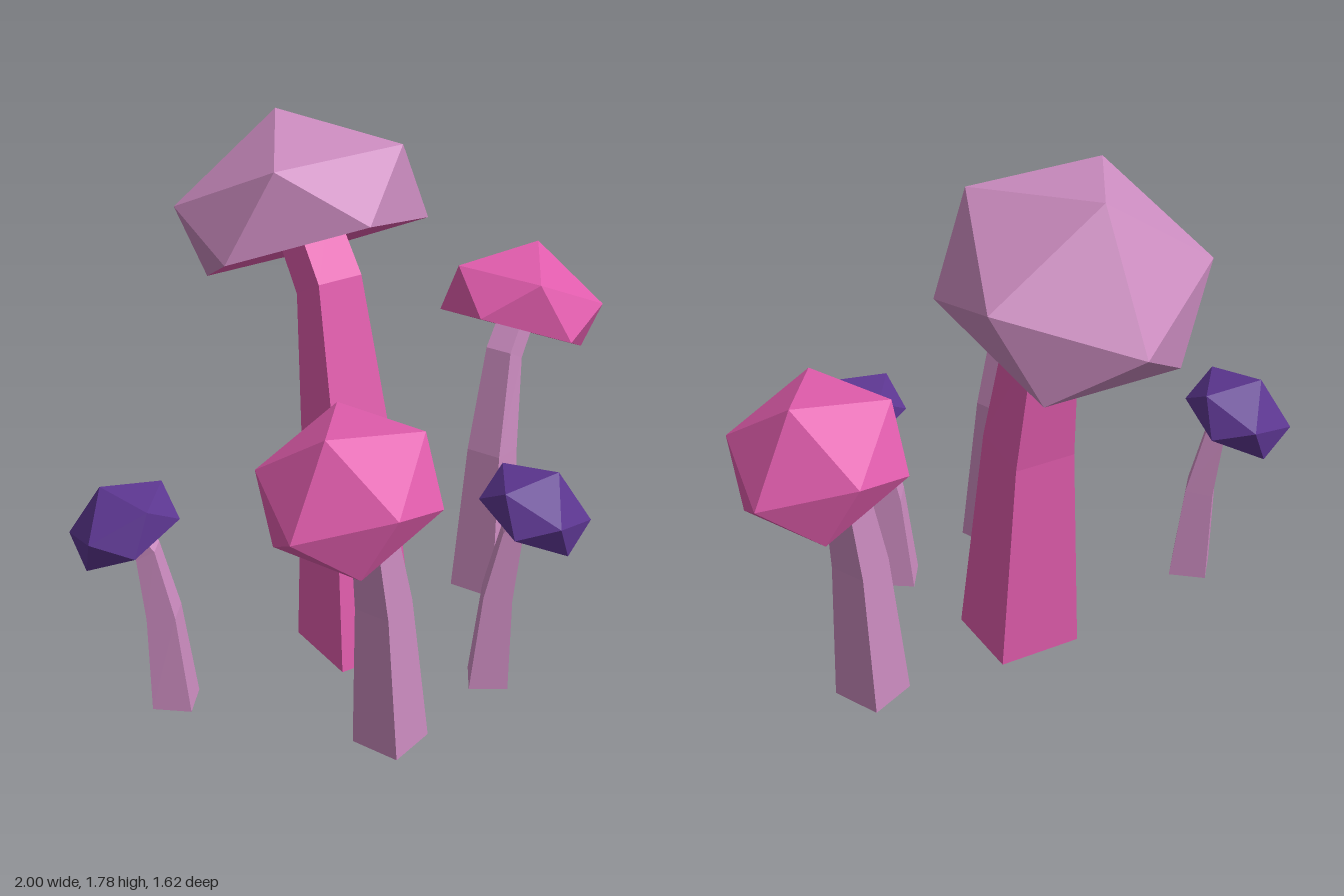
import * as THREE from 'three';

const material = (name, color) => {
  const m = new THREE.MeshStandardMaterial({ color });
  m.name = name;
  return m;
};

// Faceted normals for an indexed geometry
function facet(geometry) {
  const g = geometry.toNonIndexed();
  g.computeVertexNormals();
  return g;
}

// Square tapering stem that bends towards -z; each ring is [y, z, half width, lean]
const RINGS = [
  [0, 0, 0.145, 0],
  [0.77, -0.055, 0.107, 0.12],
  [1.28, -0.15, 0.08, 0.53],
  [1.5, -0.325, 0.076, 0.6],
];

function stemGeometry(width) {
  const g = new THREE.BoxGeometry(2, 1, 2, 1, RINGS.length - 1, 1);
  const p = g.attributes.position;
  for (let i = 0; i < p.count; i++) {
    const [y, z, half, lean] = RINGS[Math.round((p.getY(i) + 0.5) * (RINGS.length - 1))];
    const r = half * width;
    const side = p.getZ(i) * r;
    p.setXYZ(i, p.getX(i) * r, y + side * Math.sin(lean), z + side * Math.cos(lean));
  }
  return facet(g);
}

// Ten-sided cap: apex, two staggered rings of five, and a hollow underside
function capGeometries() {
  const apex = [0, 0.344, 0];
  const hollow = [0, 0, 0];
  const ring = (y, turn) => (k) => {
    const a = ((k + turn) * Math.PI * 2) / 5;
    return [0.4 * Math.sin(a), y, -0.4 * Math.cos(a)];
  };
  const upper = ring(0.115, 0);
  const lower = ring(-0.118, 0.5);
  const top = [];
  const under = [];
  for (let k = 0; k < 5; k++) {
    top.push(...apex, ...upper(k + 1), ...upper(k));
    top.push(...upper(k), ...upper(k + 1), ...lower(k));
    top.push(...upper(k + 1), ...lower(k + 1), ...lower(k));
    under.push(...hollow, ...lower(k), ...lower(k + 1));
  }
  return [top, under].map((points) => {
    const g = new THREE.BufferGeometry();
    g.setAttribute('position', new THREE.Float32BufferAttribute(points, 3));
    g.computeVertexNormals();
    return g;
  });
}

export function createModel() {
  const lavender = material('lavender', 0xcc8cc0);
  const pink = material('pink', 0xe05cac);
  const purple = material('purple', 0x5c3690);
  const [capTop, capUnder] = capGeometries();
  const model = new THREE.Group();
  model.name = 'mushroomCluster';

  function addMushroom(name, { at, lean, size, width = 1, cap, stem }) {
    const group = new THREE.Group();
    group.name = name;
    const add = (part, geometry, mat) => {
      const mesh = new THREE.Mesh(geometry, mat);
      mesh.name = part;
      group.add(mesh);
      return mesh;
    };
    add('stem', stemGeometry(width), stem);
    for (const mesh of [add('capTop', capTop, cap), add('capUnderside', capUnder, pink)]) {
      mesh.position.set(0, 1.478, -0.31);
      mesh.rotation.x = -0.485;
    }
    group.position.set(...at);
    group.rotation.y = Math.atan2(-lean[0], -lean[1]);
    group.scale.setScalar(size);
    model.add(group);
  }

  // lean is the x, z direction in which the mushroom bends
  addMushroom('tallMushroom', {
    at: [-0.03, 0, -0.1], lean: [0, -1], size: 1, cap: lavender, stem: pink,
  });
  addMushroom('frontRightMushroom', {
    at: [-0.247, 0.01, 0.45], lean: [-0.93, 0.36], size: 0.68, width: 0.87, cap: pink, stem: lavender,
  });
  addMushroom('backLeftMushroom', {
    at: [0.555, 0.01, -0.163], lean: [0.91, -0.41], size: 0.68, width: 0.87, cap: pink, stem: lavender,
  });
  addMushroom('smallFrontMushroom', {
    at: [0.198, 0.02, 0.36], lean: [0.83, 0.55], size: 0.44, cap: purple, stem: lavender,
  });
  addMushroom('smallBackMushroom', {
    at: [-0.73, 0.02, -0.095], lean: [-0.77, -0.64], size: 0.44, cap: purple, stem: lavender,
  });

  return model;
}
